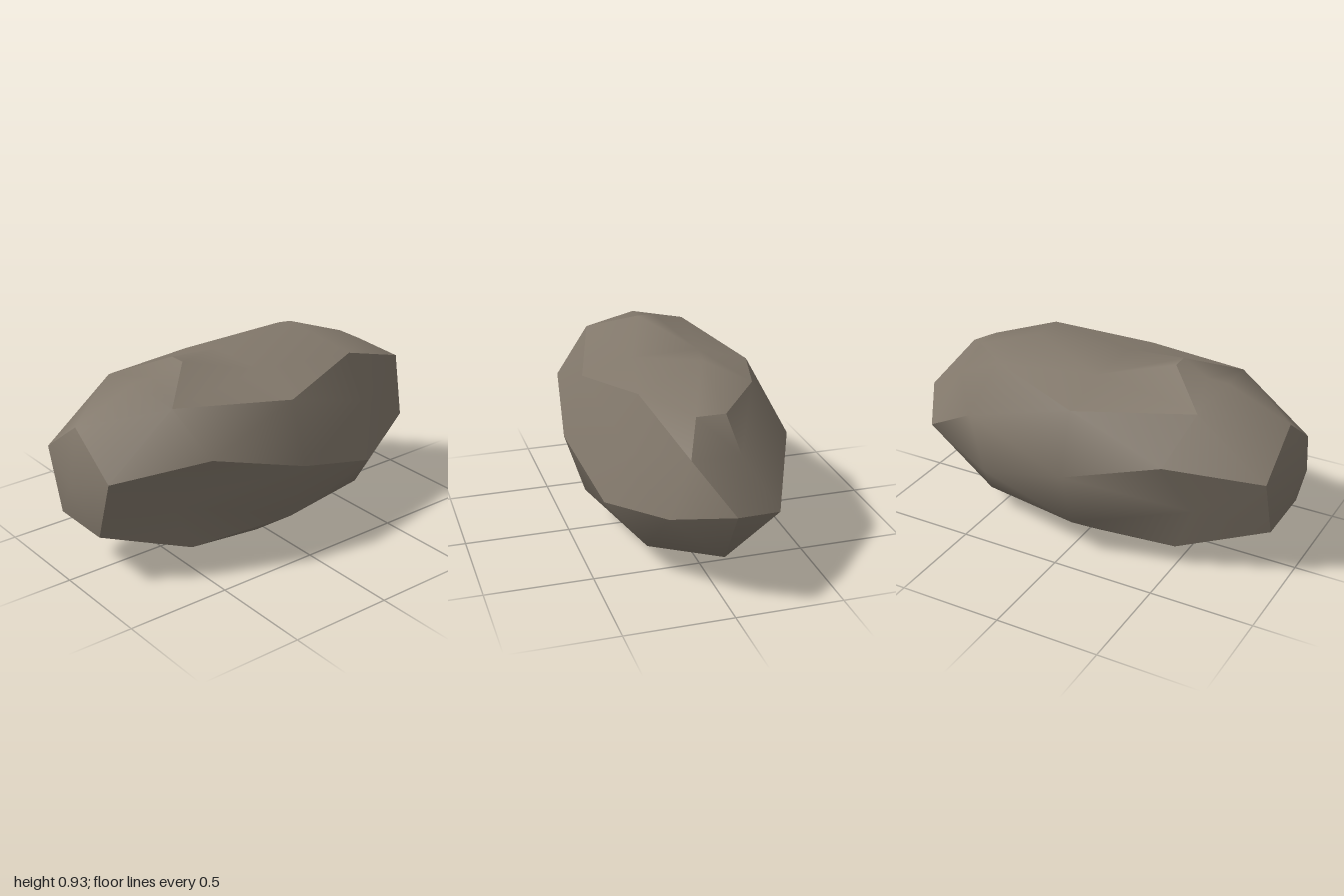
import * as THREE from 'three';

const CENTER = new THREE.Vector3(-0.04, 0.475, 0);
const SCALE = new THREE.Vector3(1.04, 0.5, 0.5);
const SMOOTH_LIMIT = Math.cos(THREE.MathUtils.degToRad(31));

// Subdivided icosahedron whose poles lie on the x axis, with named points.
// R/L = half, a/b/c = rings from the pole outwards, e = middle ring.
function boulderMesh() {
  const points = {};
  let faces = [];
  const put = (name, x, r, deg) => {
    const t = THREE.MathUtils.degToRad(deg);
    points[name] = new THREE.Vector3(x, r * Math.sin(t), r * Math.cos(t)).multiply(SCALE).add(CENTER);
  };
  for (let j = 0; j < 10; j++) put('e' + j, 0, 1, 36 * j);

  for (const [side, s, turn] of [['R', 1, 0], ['L', -1, 1]]) {
    const n = (ring, k) => side + ring + ((k + 5) % 5);
    const e = (j) => 'e' + ((j + turn + 10) % 10);
    const pole = side + 'pole';
    put(pole, s, 0, 0);
    for (let k = 0; k < 5; k++) {
      const deg = -18 + 72 * k + 36 * turn;
      put(n('a', k), s * 0.851, 0.526, deg);
      put(n('b', k), s * 0.447, 0.894, deg);
      put(n('c', k), s * 0.526, 0.851, deg + 36);
      const a = n('a', k), a2 = n('a', k + 1), b = n('b', k), b2 = n('b', k + 1), c = n('c', k);
      const e0 = e(2 * k - 1), e1 = e(2 * k), e2 = e(2 * k + 1);
      const patch = [
        [pole, a, a2], [a, b, c], [a, c, a2], [a2, c, b2],
        [b, e0, e1], [b, e1, c], [c, e1, e2], [c, e2, b2],
      ];
      for (const f of patch) faces.push(s > 0 ? f.reverse() : f);
    }
  }

  const move = (name, x, y, z) => points[name].set(x, y, z);
  // Insert a new point on the edge between two others
  const split = (i, j, name, x, y, z) => {
    points[name] = new THREE.Vector3(x, y, z);
    faces = faces.flatMap((f) => (f.includes(i) && f.includes(j)
      ? [f.map((v) => (v === i ? name : v)), f.map((v) => (v === j ? name : v))]
      : [f]));
  };

  // Sagging top between two humps
  move('e2', -0.04, 0.835, 0.16);
  move('e3', -0.04, 0.842, -0.16);
  move('Rc1', 0.33, 0.925, -0.06);

  // Chipped notch and flat break at the pointed end
  move('Ra2', 0.76, 0.64, -0.1);
  split('Rc1', 'Ra1', 'notchFront', 0.66, 0.8, 0.075);
  split('Rc1', 'Ra2', 'notchBack', 0.66, 0.8, -0.06);
  move('Ra0', 0.81, 0.41, 0.24);

  // Flat break on the front
  move('Rc0', 0.5, 0.59, 0.325);

  // Bite out of the other hump
  split('Lb1', 'La1', 'biteOuter', -0.62, 0.865, 0);
  split('Lb1', 'e2', 'biteFront', -0.38, 0.92, 0.04);
  split('Lb1', 'e3', 'biteBack', -0.38, 0.92, -0.04);
  move('Lb1', -0.52, 0.868, 0);

  // Hollows either side of the blunt end
  move('Lc4', -0.62, 0.37, 0.28);
  move('Lc2', -0.61, 0.36, -0.31);
  move('Lpole', -1, 0.5, 0.05);

  return { points, faces };
}

// Smooth normals that stop at sharp edges
function creasedGeometry({ points, faces }) {
  const normals = faces.map(([a, b, c]) => {
    const u = points[b].clone().sub(points[a]);
    return u.cross(points[c].clone().sub(points[a]));
  });
  const units = normals.map((v) => v.clone().normalize());
  const around = {};
  faces.forEach((f, i) => f.forEach((v) => (around[v] ??= []).push(i)));

  const position = [], normal = [];
  faces.forEach((face, i) => {
    for (const v of face) {
      const reached = [i];
      for (const f of reached) {
        for (const g of around[v]) {
          const shared = faces[f].filter((p) => faces[g].includes(p)).length;
          if (!reached.includes(g) && shared === 2 && units[f].dot(units[g]) > SMOOTH_LIMIT) reached.push(g);
        }
      }
      const sum = new THREE.Vector3();
      for (const f of reached) sum.add(normals[f]);
      position.push(...points[v].toArray());
      normal.push(...sum.normalize().toArray());
    }
  });
  const geometry = new THREE.BufferGeometry();
  geometry.setAttribute('position', new THREE.Float32BufferAttribute(position, 3));
  geometry.setAttribute('normal', new THREE.Float32BufferAttribute(normal, 3));
  return geometry;
}

export function createModel() {
  const stone = new THREE.MeshStandardMaterial({ color: 0x82786b });
  stone.name = 'stone';
  const boulder = new THREE.Mesh(creasedGeometry(boulderMesh()), stone);
  boulder.name = 'boulder';
  const group = new THREE.Group();
  group.name = 'rock';
  group.add(boulder);
  return group;
}
